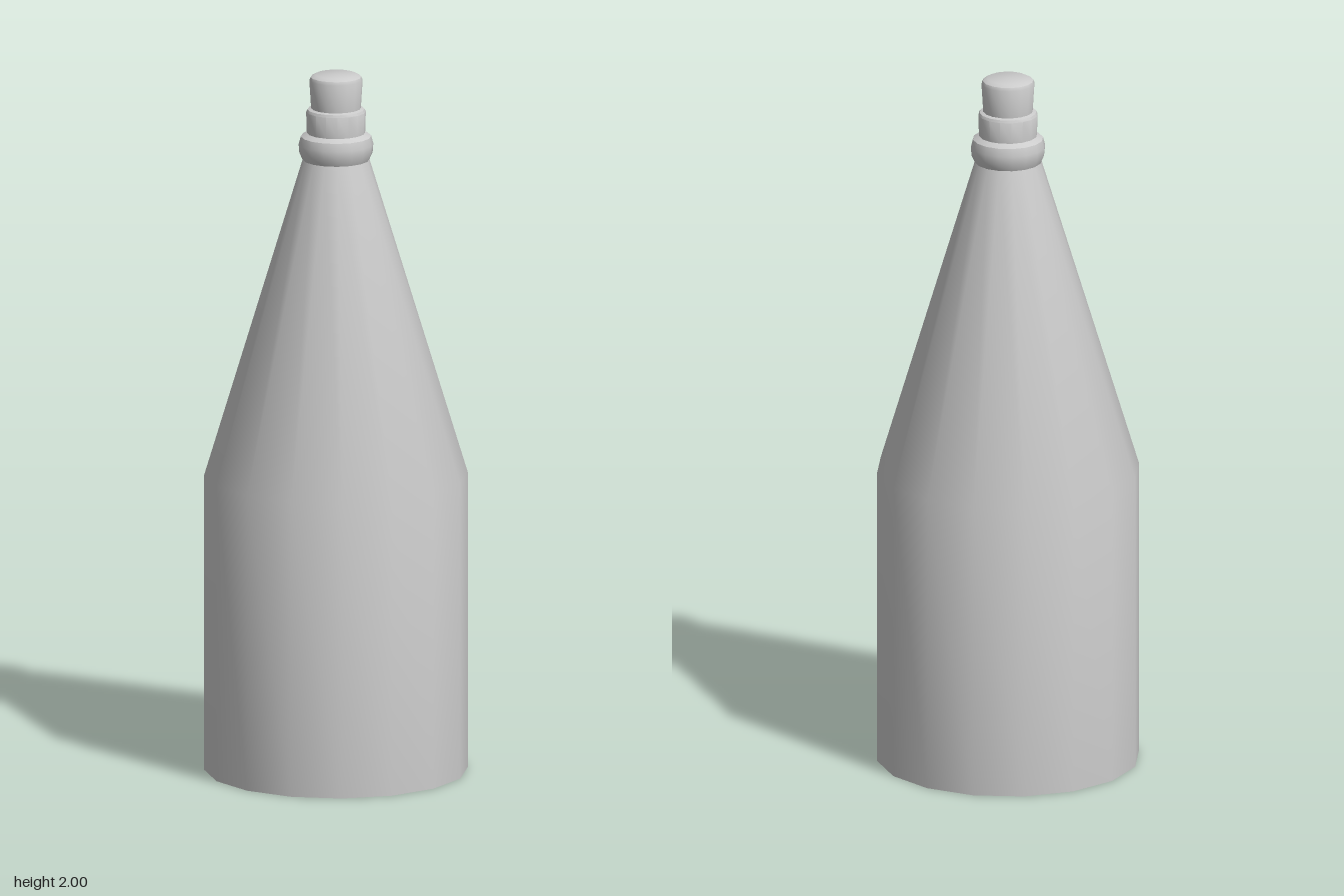
import * as THREE from 'three';
import { toCreasedNormals } from 'three/addons/utils/BufferGeometryUtils.js';

const SIDES = 16;
const material = new THREE.MeshStandardMaterial({ color: 0xcccccc });

// Turns a [radius, height] profile, listed bottom to top, into a smooth part with crisp rims
function turned(name, profile) {
  const points = profile.map(([r, y]) => new THREE.Vector2(r, y));
  const geometry = toCreasedNormals(new THREE.LatheGeometry(points, SIDES), THREE.MathUtils.degToRad(35));
  const mesh = new THREE.Mesh(geometry, material);
  mesh.name = name;
  return mesh;
}

export function createModel() {
  const bottle = new THREE.Group();
  bottle.name = 'bottle';

  bottle.add(
    // Closed base, straight wall and long tapering shoulder
    turned('body', [[0, 0], [0.37, 0], [0.37, 0.85], [0.094, 1.755]]),

    // Rounded bulge around the neck
    turned('collar', [[0.094, 1.755], [0.103, 1.775], [0.105, 1.8], [0.099, 1.822], [0.082, 1.832]]),

    // Straight ring above the collar with a small ledge
    turned('neckRing', [[0.082, 1.832], [0.084, 1.893], [0.08, 1.9], [0.07, 1.903]]),

    // Slightly flared stopper with a bevelled top
    turned('stopper', [[0.07, 1.903], [0.075, 1.984], [0.071, 1.993], [0.058, 2], [0, 2]]),
  );

  return bottle;
}
